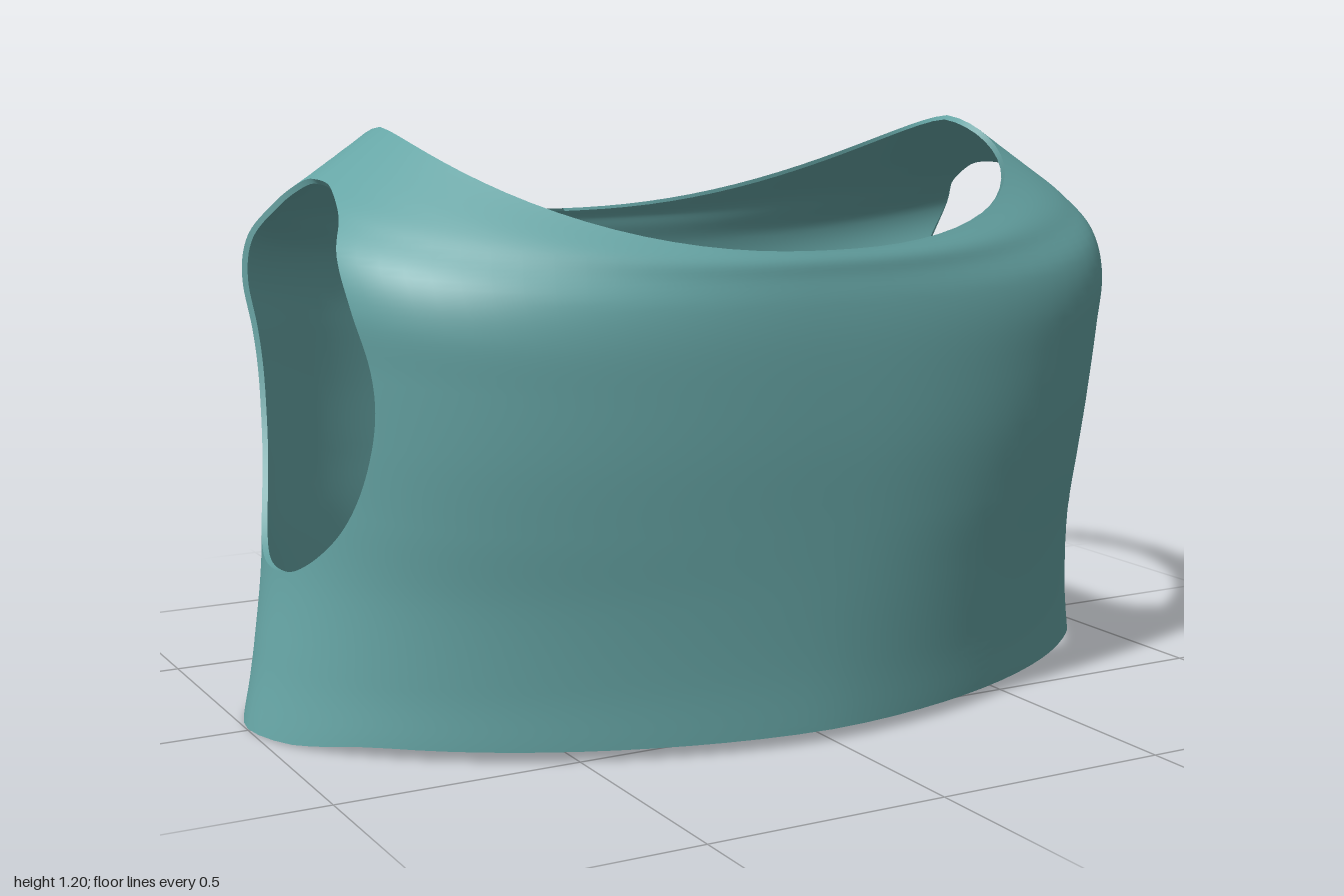
import * as THREE from 'three';

// Cross-sections from hem to neckline:
// half width, half depth, squareness, height at the sides, height at front and back
const SECTIONS = [
  [1.0, 0.62, 1.75, 0.02, 0.02],
  [0.97, 0.62, 1.85, 0.14, 0.14],
  [0.938, 0.625, 2.05, 0.32, 0.3],
  [0.925, 0.63, 2.3, 0.48, 0.44],
  [0.925, 0.635, 2.5, 0.64, 0.58],
  [0.935, 0.635, 2.6, 0.8, 0.7],
  [0.945, 0.632, 2.65, 0.92, 0.8],
  [0.925, 0.625, 2.6, 1.01, 0.87],
  [0.87, 0.615, 2.45, 1.07, 0.92],
  [0.8, 0.61, 2.4, 1.12, 0.95],
  [0.69, 0.598, 2.3, 1.2, 0.972],
];
// Half of the armhole outline (z, y), from bottom to top
const ARMHOLE = [
  [0, 0.325], [0.12, 0.348], [0.24, 0.44], [0.32, 0.58], [0.352, 0.73],
  [0.32, 0.89], [0.22, 1.02], [0.1, 1.085], [0, 1.1],
];
const THICKNESS = 0.012;
const EDGE = 40; // rays per edge of the half-body patch
const STEPS = 18; // steps from armhole to patch border

const spline = (pick) => new THREE.CatmullRomCurve3(
  SECTIONS.map((s) => new THREE.Vector3(...pick(s))), false, 'catmullrom', 0.5);
const shapeCurve = spline((s) => [s[0], s[1], s[2]]);
const heightCurve = spline((s) => [s[3], s[4], 0]);

// Height of a section at depth z; the hem dips a little at the sides
function heightAt(t, z, b) {
  const h = heightCurve.getPoint(t);
  const dip = 0.02 * (1 - THREE.MathUtils.smoothstep(Math.abs(z), 0.12, 0.31)) * Math.max(0, 1 - t * 8);
  return h.x + (h.y - h.x) * Math.pow(Math.abs(z / b), 1.45) - dip;
}

// Point on the left half of the body: phi from back (-90 deg) to front (+90 deg)
function surface(phi, t) {
  const { x: a, y: b, z: n } = shapeCurve.getPoint(t);
  const c = Math.cos(phi), s = Math.sin(phi);
  const r = Math.pow(Math.pow(Math.abs(c), n) + Math.pow(Math.abs(s), n), -1 / n);
  const z = b * s * r;
  return new THREE.Vector3(a * c * r, heightAt(t, z, b), z);
}

function surfaceNormal(phi, t) {
  const e = 0.004;
  const dPhi = surface(phi + e, t).sub(surface(phi - e, t));
  const dT = surface(phi, Math.min(1, t + e)).sub(surface(phi, Math.max(0, t - e)));
  return dT.cross(dPhi).normalize();
}

// Surface parameters (phi, t) of a point seen from the side
function locate(z, y) {
  let lo = 0, hi = 1;
  for (let i = 0; i < 30; i++) {
    const mid = (lo + hi) / 2;
    if (heightAt(mid, z, shapeCurve.getPoint(mid).y) < y) lo = mid; else hi = mid;
  }
  const { y: b, z: n } = shapeCurve.getPoint(lo);
  const s = z / b;
  return [Math.atan2(s, Math.pow(1 - Math.pow(Math.abs(s), n), 1 / n)), lo];
}

// Half of the shell: rays run from the armhole to the hem, seams and neckline
function halfBody(side) {
  const outline = [...ARMHOLE, ...ARMHOLE.slice(1, -1).reverse().map(([z, y]) => [-z, y])];
  const hole = new THREE.CatmullRomCurve3(
    outline.map(([z, y]) => new THREE.Vector3(0, y, z)), true, 'catmullrom', 0.5);
  const corners = [[-1, 0], [1, 0], [1, 1], [-1, 1]];
  const count = 4 * EDGE;
  const outer = [], inner = [], normals = [];
  for (let k = 0; k <= count; k++) {
    const j = k % count, q = Math.floor(j / EDGE), f = (j % EDGE) / EDGE;
    const from = corners[q], to = corners[(q + 1) % 4];
    const endPhi = (from[0] + (to[0] - from[0]) * f) * Math.PI / 2;
    const endT = from[1] + (to[1] - from[1]) * f;
    const p = hole.getPoint((j / count - 0.125 + 1) % 1);
    const [phi0, t0] = locate(p.z, p.y);
    const rayO = [], rayI = [], rayN = [];
    for (let i = 0; i <= STEPS; i++) {
      const w = i / STEPS;
      const phi = phi0 + (endPhi - phi0) * w, t = t0 + (endT - t0) * w;
      const point = surface(phi, t), normal = surfaceNormal(phi, t);
      rayO.push(point);
      rayN.push(normal);
      rayI.push(point.clone().addScaledVector(normal, -THICKNESS));
    }
    outer.push(rayO);
    inner.push(rayI);
    normals.push(rayN);
  }

  const pos = [], nor = [], index = [];
  const vertex = (p, n) => {
    pos.push(p.x * side, p.y, p.z);
    nor.push(n.x * side, n.y, n.z);
    return pos.length / 3 - 1;
  };
  // Adds a quad, turned so that its front agrees with the vertex normals
  const A = new THREE.Vector3(), B = new THREE.Vector3(), C = new THREE.Vector3(), N = new THREE.Vector3();
  const triangle = (a, b, c) => {
    A.fromArray(pos, a * 3);
    B.fromArray(pos, b * 3).sub(A);
    C.fromArray(pos, c * 3).sub(A);
    N.fromArray(nor, a * 3);
    if (B.cross(C).dot(N) >= 0) index.push(a, b, c); else index.push(a, c, b);
  };
  const quad = (a, b, c, d) => { triangle(a, b, c); triangle(a, c, d); };

  // Outer and inner faces
  for (const [rays, sign] of [[outer, 1], [inner, -1]]) {
    const ids = rays.map((ray, k) => ray.map((p, i) => vertex(p, normals[k][i].clone().multiplyScalar(sign))));
    for (let k = 0; k < count; k++)
      for (let i = 0; i < STEPS; i++)
        quad(ids[k][i], ids[k + 1][i], ids[k + 1][i + 1], ids[k][i + 1]);
  }

  // Cut edges: the armhole all round, then the hem and neckline
  const rim = (i, next, start, end) => {
    let last = null;
    for (let k = start; k <= end; k++) {
      const n = outer[k][i].clone().sub(outer[k][next]).normalize();
      const pair = [vertex(outer[k][i], n), vertex(inner[k][i], n)];
      if (last) quad(last[0], pair[0], pair[1], last[1]);
      last = pair;
    }
  };
  rim(0, 1, 0, count);
  rim(STEPS, STEPS - 1, 0, EDGE);
  rim(STEPS, STEPS - 1, 2 * EDGE, 3 * EDGE);

  const geometry = new THREE.BufferGeometry();
  geometry.setAttribute('position', new THREE.Float32BufferAttribute(pos, 3));
  geometry.setAttribute('normal', new THREE.Float32BufferAttribute(nor, 3));
  geometry.setIndex(index);
  return geometry;
}

export function createModel() {
  const group = new THREE.Group();
  group.name = 'sleevelessTop';
  const fabric = new THREE.MeshStandardMaterial({ color: 0x66a5a5, side: THREE.DoubleSide });
  for (const [side, name] of [[1, 'leftHalf'], [-1, 'rightHalf']]) {
    const mesh = new THREE.Mesh(halfBody(side), fabric);
    mesh.name = name;
    group.add(mesh);
  }
  return group;
}
